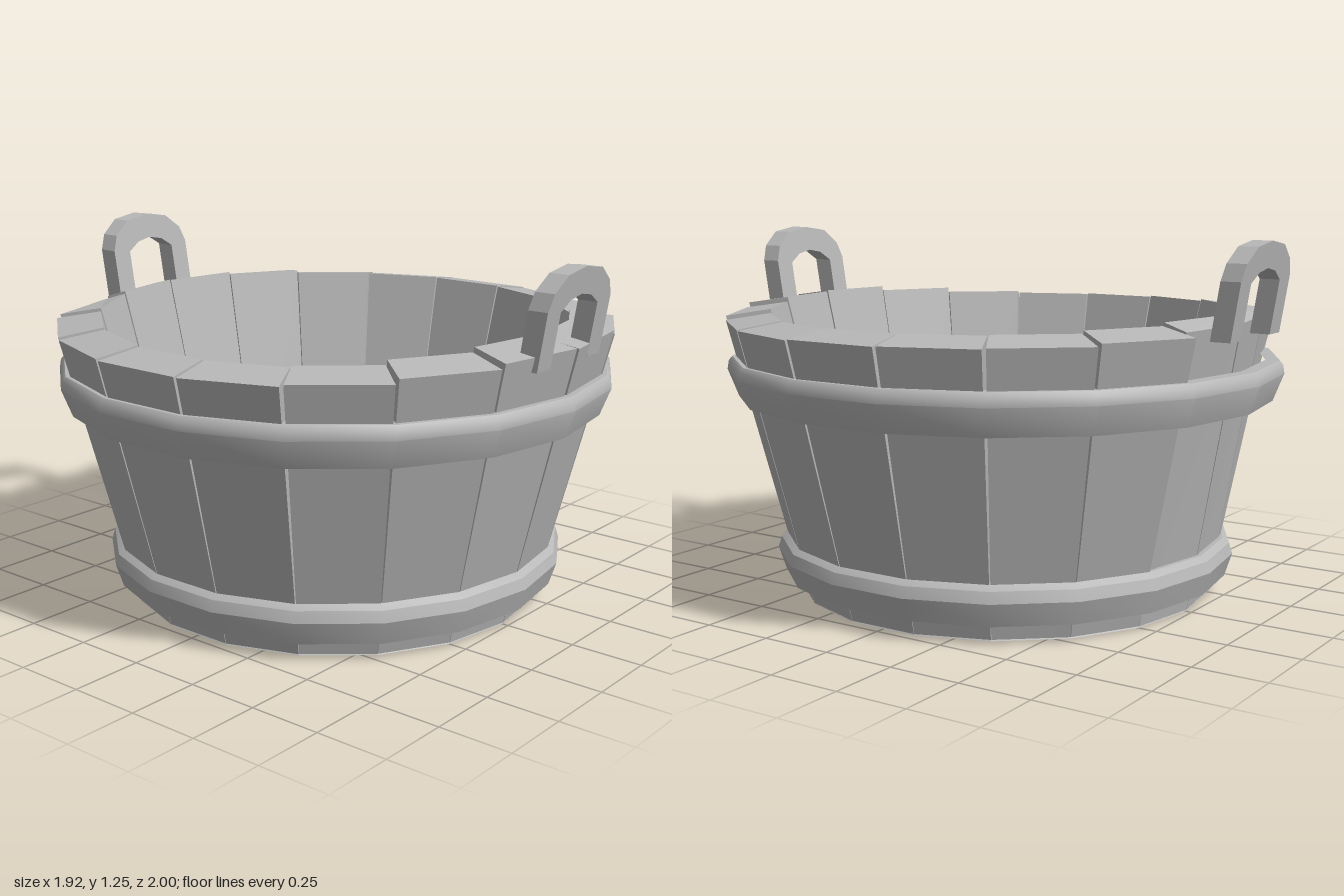
import * as THREE from 'three';
import { toCreasedNormals } from 'three/addons/utils/BufferGeometryUtils.js';

const COUNT = 18;
const STEP = (Math.PI * 2) / COUNT;

const grey = new THREE.MeshStandardMaterial({ color: 0xb8b8b8 });
grey.name = 'plain grey';

const polar = (a, r, y) => [Math.sin(a) * r, y, Math.cos(a) * r];

function addMesh(parent, name, geometry) {
  const mesh = new THREE.Mesh(geometry, grey);
  mesh.name = name;
  parent.add(mesh);
  return mesh;
}

// One tapered plank; pull0 and pull1 draw its two top outer corners inward
function staveGeometry(a0, a1, topY, gap, pull0, pull1) {
  const tight = 0.001;
  const o = [
    polar(a0 + tight, 0.731, 0.006), polar(a1 - tight, 0.731, 0.006),
    polar(a1 - gap, 0.976 - pull1, topY), polar(a0 + gap, 0.976 - pull0, topY),
  ];
  const i = [
    polar(a0 + tight, 0.58, 0.006), polar(a1 - tight, 0.58, 0.006),
    polar(a1 - gap * 0.5, 0.822, topY + 0.023), polar(a0 + gap * 0.5, 0.822, topY + 0.023),
  ];
  const quads = [
    [o[0], o[1], o[2], o[3]], // outside
    [i[1], i[0], i[3], i[2]], // inside
    [o[3], o[2], i[2], i[3]], // top
    [i[0], i[1], o[1], o[0]], // bottom
    [o[1], i[1], i[2], o[2]], // edges
    [i[0], o[0], o[3], i[3]],
  ];
  const pos = [];
  for (const [a, b, c, d] of quads) pos.push(...a, ...b, ...c, ...a, ...c, ...d);
  const g = new THREE.BufferGeometry();
  g.setAttribute('position', new THREE.Float32BufferAttribute(pos, 3));
  g.computeVertexNormals();
  return g;
}

// Hoop turned from a bevelled profile, following the plank joints
function hoopGeometry(profile) {
  const points = profile.map(([r, y]) => new THREE.Vector2(r, y));
  return toCreasedNormals(new THREE.LatheGeometry(points, COUNT), 0.6);
}

// Faceted arch with two legs, leaning outward
function handleGeometry() {
  const outer = [[0.187, 0.94], [0.187, 1.13], [0.165, 1.185], [0.1, 1.235], [0, 1.25]];
  const inner = [[0, 1.163], [0.06, 1.152], [0.11, 1.12], [0.11, 0.94]];
  const right = [...outer, ...inner];
  const left = right.filter(([x]) => x > 0).map(([x, y]) => [-x, y]);
  const shape = new THREE.Shape();
  const loop = [
    ...outer, ...left.slice(0, 4).reverse(),
    ...left.slice(4).reverse(), ...inner,
  ];
  shape.setFromPoints(loop.map(([x, y]) => new THREE.Vector2(x, y)));
  const g = new THREE.ExtrudeGeometry(shape, { depth: 0.07, bevelEnabled: false });
  const p = g.attributes.position;
  for (let k = 0; k < p.count; k++) {
    p.setZ(k, p.getZ(k) + 0.88 + (p.getY(k) - 0.94) * 0.165);
  }
  g.computeVertexNormals();
  return g;
}

export function createModel() {
  const model = new THREE.Group();
  model.name = 'washtub';

  // Staves, a little taller at front and back; three at the back are thinner on top
  const staves = new THREE.Group();
  staves.name = 'staves';
  model.add(staves);
  const pulls = { 8: [0.056, 0.07], 9: [0.07, 0.08], 10: [0.08, 0.01] };
  for (let k = 0; k < COUNT; k++) {
    const a0 = k * STEP;
    const topY = 0.953 + 0.034 * Math.cos(a0 + STEP / 2) ** 4 + 0.004 * Math.sin(k * 5.3);
    const gap = 0.006 + 0.003 * Math.sin(k * 2.7);
    const [p0, p1] = pulls[k] || [0, 0];
    addMesh(staves, 'stave', staveGeometry(a0, a0 + STEP, topY, gap, p0, p1));
  }

  // Solid base whose upper face is the tub floor
  addMesh(model, 'base', toCreasedNormals(new THREE.CylinderGeometry(0.66, 0.728, 0.1, COUNT), 0.2))
    .position.y = 0.05;

  // Hoops
  addMesh(model, 'lowerHoop', hoopGeometry(
    [[0.73, 0.067], [0.788, 0.065], [0.814, 0.145], [0.802, 0.183], [0.78, 0.2], [0.75, 0.2]]));
  addMesh(model, 'upperHoop', hoopGeometry(
    [[0.88, 0.695], [0.938, 0.69], [0.975, 0.785], [0.97, 0.815], [0.958, 0.83], [0.91, 0.83]]));

  // Handles at front and back
  for (const [name, turn] of [['frontHandle', 0], ['backHandle', Math.PI]]) {
    const handle = addMesh(model, name, handleGeometry());
    handle.rotation.y = turn;
    handle.position.x = -0.012;
  }
  return model;
}
